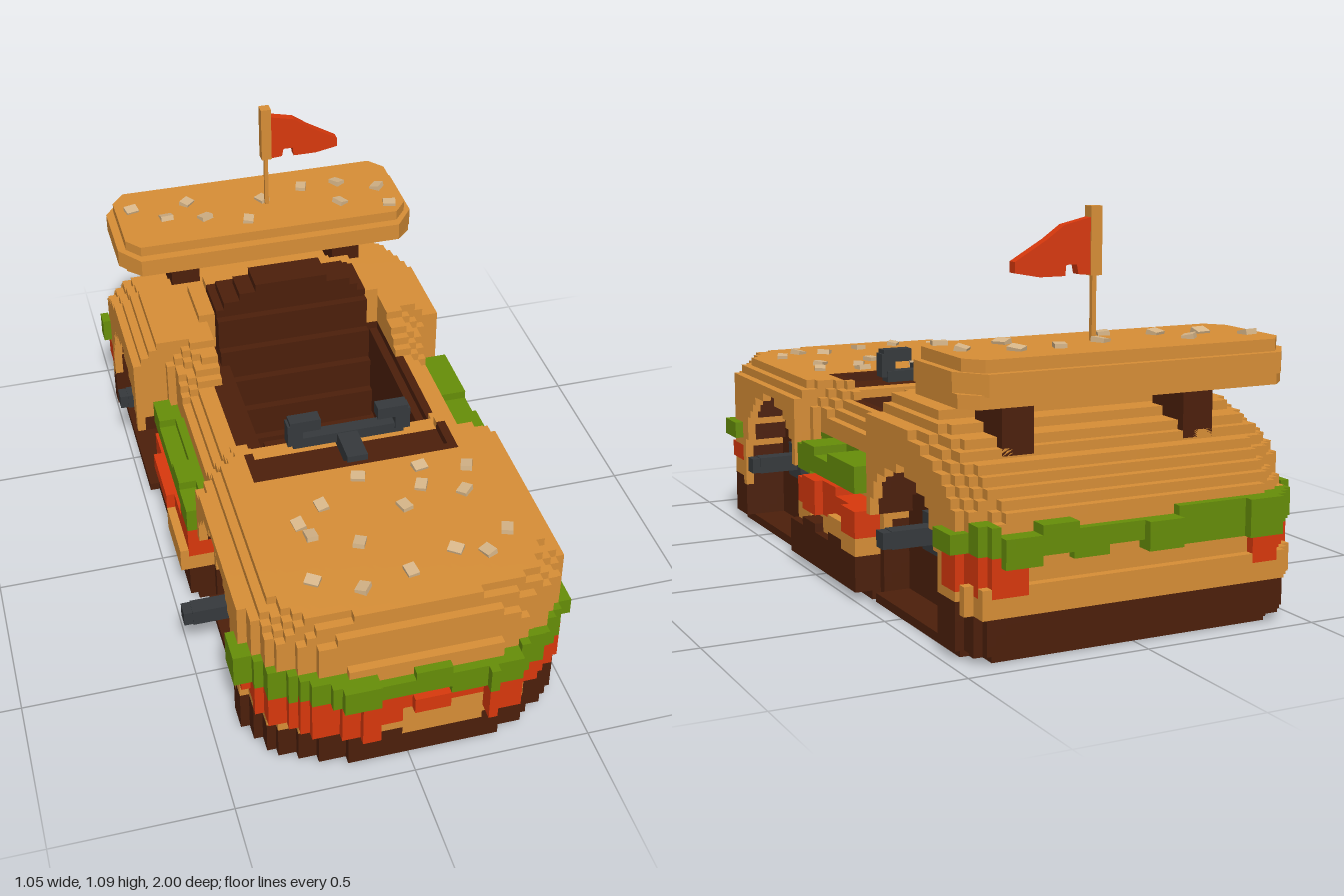
import * as THREE from 'three';

const mat = (name, color) => Object.assign(new THREE.MeshStandardMaterial({ color }), { name });
const bunTan = mat('bun tan', 0xd78e36);
const pattyBrown = mat('patty brown', 0x4c1f0a);
const lettuceGreen = mat('lettuce green', 0x668d08);
const tomatoRed = mat('tomato red', 0xd8380c);
const metalGrey = mat('metal grey', 0x35393c);
const seedBeige = mat('seed beige', 0xd6b588);

// Piecewise linear lookup
const curve = pts => t => {
  if (t <= pts[0][0]) return pts[0][1];
  for (let i = 1; i < pts.length; i++) {
    const [a, va] = pts[i - 1], [b, vb] = pts[i];
    if (t <= b) return va + (vb - va) * (t - a) / (b - a);
  }
  return pts[pts.length - 1][1];
};

// Body outline along z: right edge, left edge and roof height
const lo = curve([[-0.95, -0.42], [-0.9, -0.46], [-0.8, -0.5], [-0.33, -0.5], [-0.31, -0.38], [0.21, -0.38],
  [0.23, -0.42], [0.75, -0.42], [0.85, -0.36], [0.92, -0.25], [0.95, -0.12]]);
const hi = curve([[-0.95, 0.42], [-0.85, 0.48], [-0.33, 0.48], [-0.31, 0.41], [0.21, 0.41],
  [0.23, 0.48], [0.75, 0.48], [0.85, 0.42], [0.92, 0.31], [0.95, 0.2]]);
const top = curve([[-0.95, 0.36], [-0.92, 0.4], [-0.86, 0.45], [-0.78, 0.51], [-0.6, 0.57], [-0.3, 0.57], [-0.24, 0.53],
  [-0.18, 0.48], [0.12, 0.48], [0.2, 0.52], [0.3, 0.53], [0.86, 0.53], [0.91, 0.5], [0.95, 0.4]]);

// Distance inside the outline widened by g at the ends and gx at the sides (negative when outside)
const depth = (x, z, g, gx = g) => {
  const k = z * 0.95 / (0.95 + g);
  return Math.abs(k) > 0.95 ? -1 : Math.min(x - lo(k) + gx, hi(k) + gx - x);
};
const hash = (a, b, c) => {
  const s = Math.sin(a * 12.99 + b * 78.23 + c * 37.72) * 43758.55;
  return s - Math.floor(s);
};
// Ragged offset that is constant over small chunks of the body
const rough = (x, z, seed) => hash(Math.floor(x / 0.1), Math.floor(z / 0.1), seed) - 0.5;

// Block grid for the body
const S = 0.025, NX = 44, NY = 30, NZ = 84;
const at = (i, j, k) => (i < 0 || j < 0 || k < 0 || i >= NX || j >= NY || k >= NZ) ? -1 : (i * NY + j) * NZ + k;
const centre = (i, j, k) => [(i + 0.5 - NX / 2) * S, (j + 0.5) * S, (k + 0.5 - NZ / 2) * S];

function fill(grid, part, test) {
  for (let i = 0; i < NX; i++) for (let j = 0; j < NY; j++) for (let k = 0; k < NZ; k++) {
    if (test(...centre(i, j, k))) grid[at(i, j, k)] = part;
  }
}

// Exposed block faces of one part
function blockGeometry(grid, part) {
  const pos = [], idx = [];
  for (let i = 0; i < NX; i++) for (let j = 0; j < NY; j++) for (let k = 0; k < NZ; k++) {
    if (grid[at(i, j, k)] !== part) continue;
    for (let a = 0; a < 3; a++) for (const d of [-1, 1]) {
      const n = [i, j, k];
      n[a] += d;
      if (grid[at(...n)]) continue;
      const b = pos.length / 3;
      for (const [u, v] of [[-1, -1], [1, -1], [1, 1], [-1, 1]]) {
        const p = centre(i, j, k);
        p[a] += d * S / 2;
        p[(a + 1) % 3] += u * S / 2;
        p[(a + 2) % 3] += v * S / 2;
        pos.push(...p);
      }
      idx.push(...(d > 0 ? [b, b + 1, b + 2, b, b + 2, b + 3] : [b, b + 2, b + 1, b, b + 3, b + 2]));
    }
  }
  const g = new THREE.BufferGeometry();
  g.setAttribute('position', new THREE.Float32BufferAttribute(pos, 3));
  g.setIndex(idx);
  g.computeVertexNormals();
  return g;
}

const wheels = [{ z: 0.45, y: 0.225 }, { z: -0.55, y: 0.195 }];
const isFender = z => wheels.some(w => Math.abs(z - w.z) < 0.245);
const isMiddle = z => z > -0.31 && z < 0.21;

function buildBody(group) {
  const grid = new Array(NX * NY * NZ).fill(null);
  // Bun shell with softened sides and a domed nose
  fill(grid, 'bun', (x, y, z) => {
    const e = depth(x, z, 0);
    const nose = Math.hypot(Math.max(0, Math.abs(x - 0.03) - 0.15) / 0.3, Math.max(0, z - 0.65) / 0.28);
    const drop = z > 0.65 ? 0.25 * Math.max(0, nose - 0.85) : 0;
    return e > 0 && y > 0.05 && y < top(z) - Math.max(drop, (0.08 - e) * 0.9);
  });
  // Lower bun slice peeking out between the wheels and at the back
  fill(grid, 'bun', (x, y, z) => (isMiddle(z) || z < -0.85) && y > 0.12 && y < 0.19
    && depth(x, z, 0.02, (isMiddle(z) ? 0.07 : 0) + 0.05 * rough(x, z, 8)) > 0);
  // Patty floor, tucked in at the bottom
  const frontPatch = (x, z) => z > 0.5 && x > -0.02 && x < 0.2;
  fill(grid, 'patty', (x, y, z) => y < (frontPatch(x, z) ? 0.1 : 0.135 + 0.04 * rough(x, z, 1))
    && depth(x, z, (y < 0.025 ? -0.03 : 0), (isMiddle(z) ? 0.08 : 0) - (y < 0.025 ? 0.03 : 0)) > 0);
  // Tomato and lettuce layers bulge between the fenders
  fill(grid, 'tomato', (x, y, z) => !isFender(z)
    && y > (z > 0.8 ? 0.155 : 0.18) + 0.03 * rough(x, z, 2) && y < 0.258 + 0.03 * rough(x, z, 3)
    && !(z < -0.8 && Math.abs(x) < 0.33) && !(frontPatch(x, z) && y < 0.19)
    && depth(x, z, 0.02 + 0.04 * rough(x, z, 4), (isMiddle(z) ? 0.08 : 0.005) + 0.03 * rough(x, z, 4)) > 0);
  fill(grid, 'lettuce', (x, y, z) => !isFender(z)
    && y > (isMiddle(z) ? 0.295 : 0.26) + 0.03 * rough(x, z, 5)
    && y < (isMiddle(z) ? 0.365 : 0.345) + 0.03 * rough(x, z, 6)
    && depth(x, z, 0.04 + 0.04 * rough(x, z, 7), (isMiddle(z) ? 0.075 : 0.01) + 0.02 * rough(x, z, 7)) > 0);
  // Wheel arches with a dark lining
  for (const w of wheels) {
    const r = (y, z) => y > w.y ? Math.hypot(z - w.z, y - w.y) : Math.abs(z - w.z);
    fill(grid, 'patty', (x, y, z) => r(y, z) < 0.24 && y < 0.46 && depth(x, z, 0) > 0.025 && depth(x, z, 0) < 0.17);
    fill(grid, null, (x, y, z) => y > S && r(y, z) < 0.22 && depth(x, z, 0) < 0.14);
  }
  // Open cockpit: dark rim ledge and dashboard around a deeper foot well
  const inside = (x, z, x0, x1, z0, z1) => x > x0 && x < x1 && z > z0 && z < z1;
  fill(grid, 'patty', (x, y, z) => y > 0.1 && y < (z > 0.2 ? 0.53 : 0.475) && y < top(z)
    && inside(x, z, -0.275, 0.335, -0.425, 0.325));
  fill(grid, null, (x, y, z) => y > (z > 0.15 ? 0.5 : 0.45) && inside(x, z, -0.25, 0.31, -0.4, 0.3));
  fill(grid, null, (x, y, z) => y > 0.15 && inside(x, z, -0.2, 0.275, -0.4, 0.15));
  // Hump behind the driver and the reclined seat back
  fill(grid, 'bun', (x, y, z) => y > 0.5 && z < -0.4 && z > -0.57
    && y < 0.63 - 0.5 * Math.max(0, Math.abs(x - 0.02) - 0.2));
  const seatTop = curve([[0.09, 0.7], [0.13, 0.68], [0.2, 0.65], [0.25, 0.6]]);
  fill(grid, 'patty', (x, y, z) => y > 0.15 && z > -0.52 + Math.max(0, y - 0.62) * 0.8 && z < -0.26 - 0.25 * (y - 0.2)
    && Math.abs(x - 0.02) < 0.24 && y < seatTop(Math.abs(x - 0.02)));

  const layers = { bun: bunTan, patty: pattyBrown, tomato: tomatoRed, lettuce: lettuceGreen };
  for (const [name, material] of Object.entries(layers)) {
    const mesh = new THREE.Mesh(blockGeometry(grid, name), material);
    mesh.name = name + 'Layer';
    group.add(mesh);
  }
}

export function createModel() {
  const model = new THREE.Group();
  model.name = 'burgerCar';
  const add = (name, geometry, material) => {
    const m = new THREE.Mesh(geometry, material);
    m.name = name;
    model.add(m);
    return m;
  };
  // Box from min and max corners
  const box = (name, material, [x0, y0, z0], [x1, y1, z1]) => {
    const m = add(name, new THREE.BoxGeometry(x1 - x0, y1 - y0, z1 - z0), material);
    m.position.set((x0 + x1) / 2, (y0 + y1) / 2, (z0 + z1) / 2);
    return m;
  };
  const extrude = (points, thickness) => new THREE.ExtrudeGeometry(
    new THREE.Shape(points.map(p => new THREE.Vector2(...p))), { depth: thickness, bevelEnabled: false });

  buildBody(model);
  box('seatCushion', pattyBrown, [-0.12, 0.14, -0.23], [0.15, 0.2, 0.13]);

  // Axle stubs
  for (const z of [0.485, -0.53]) for (const s of [-1, 1]) {
    const b = (n, x0, x1, h) => box(n, metalGrey,
      [Math.min(s * x0, s * x1), 0.23 - h, z - h], [Math.max(s * x0, s * x1), 0.23 + h, z + h]);
    b('axleHub', 0.26, 0.38, 0.052);
    b('axleRod', 0.37, 0.5, 0.024);
    b('axleCap', 0.485, 0.525, 0.022);
  }

  // Steering yoke
  box('steeringColumn', metalGrey, [0, 0.49, 0.18], [0.06, 0.545, 0.31]);
  box('steeringBar', metalGrey, [-0.13, 0.515, 0.16], [0.2, 0.548, 0.2]);
  for (const s of [-1, 1]) {
    const x = 0.035 + s * 0.16;
    box('steeringGrip', metalGrey, [x - 0.022, 0.53, 0.165], [x + 0.022, 0.6, 0.205]);
    box('steeringGripTop', metalGrey, [x - s * 0.03 - 0.045, 0.575, 0.165], [x - s * 0.03 + 0.045, 0.612, 0.205]);
  }

  // Spoiler with clipped corners on two posts
  const slab = (name, x0, x1, z0, z1, y0, y1, cx, cz) => {
    const g = extrude([[x0 + cx, -z1], [x1 - cx, -z1], [x1, cz - z1], [x1, -z0 - cz],
      [x1 - cx, -z0], [x0 + cx, -z0], [x0, -z0 - cz], [x0, cz - z1]], y1 - y0);
    add(name, g.rotateX(-Math.PI / 2).translate(0, y0, 0), bunTan);
  };
  slab('spoilerBase', -0.45, 0.48, -0.94, -0.62, 0.63, 0.665, 0.04, 0.04);
  slab('spoilerMiddle', -0.475, 0.48, -0.95, -0.57, 0.66, 0.715, 0.06, 0.08);
  slab('spoilerTop', -0.45, 0.46, -0.93, -0.6, 0.71, 0.747, 0.04, 0.05);
  for (const x of [-0.265, 0.265]) box('spoilerPost', pattyBrown, [x - 0.045, 0.48, -0.8], [x + 0.045, 0.64, -0.65]);

  // Flag
  box('flagPole', bunTan, [0.024, 0.74, -0.763], [0.036, 0.93, -0.75]);
  box('flagSleeve', bunTan, [0.014, 0.915, -0.773], [0.046, 1.09, -0.74]);
  const flag = extrude([[0.045, 0.917], [0.08, 0.92], [0.085, 0.945], [0.115, 0.945], [0.118, 0.917], [0.19, 0.917],
    [0.26, 0.93], [0.26, 0.958], [0.17, 1.01], [0.12, 1.045], [0.045, 1.062]], 0.028);
  add('flag', flag.translate(0, 0, -0.77), tomatoRed);

  // Sesame seeds on the hood and spoiler
  const seeds = (y, spots) => spots.forEach(([x, z], i) => {
    const m = box('sesameSeed', seedBeige, [x - 0.016, y - 0.009, z - 0.02], [x + 0.016, y + 0.009, z + 0.02]);
    m.rotation.set(0.3 * (hash(i, y, 1) - 0.5), hash(i, y, 2) * 3, 0.5 * (hash(i, y, 3) - 0.5));
  });
  seeds(0.528, [[0.01, 0.38], [0.19, 0.38], [0.32, 0.41], [-0.12, 0.47], [0.17, 0.46], [0.28, 0.51], [-0.2, 0.53],
    [0.1, 0.53], [-0.06, 0.64], [-0.18, 0.58], [0.18, 0.73], [0.34, 0.69], [0.26, 0.76], [-0.22, 0.75], [-0.1, 0.81], [0.04, 0.78]]);
  seeds(0.749, [[-0.4, -0.82], [-0.22, -0.82], [-0.3, -0.75], [-0.18, -0.72], [-0.05, -0.67], [0.02, -0.78],
    [0.16, -0.82], [0.28, -0.82], [0.4, -0.76], [0.41, -0.65], [0.26, -0.7]]);
  return model;
}
